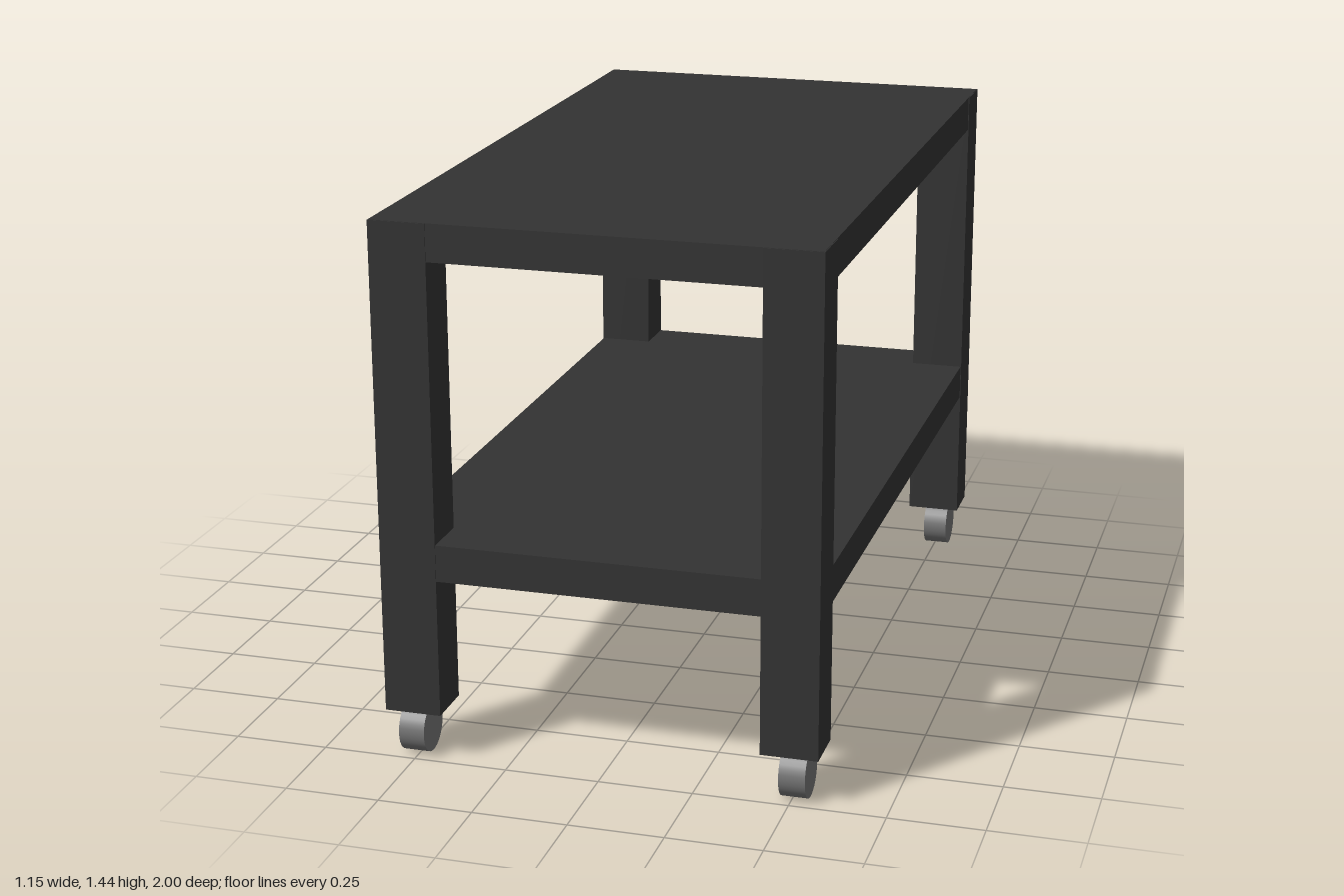
import * as THREE from 'three';

const frameMat = new THREE.MeshStandardMaterial({ color: 0x333333 });
frameMat.name = 'dark frame';
const wheelMat = new THREE.MeshStandardMaterial({ color: 0x777777 });
wheelMat.name = 'grey wheel';

const HALF_X = 0.575, HALF_Z = 1, HEIGHT = 1.436;
const LEG_X = 0.15, LEG_Z = 0.135, LEG_BASE = 0.13, SLAB = 0.098;
const WHEEL_R = 0.067, WHEEL_W = 0.069;

function add(parent, name, geometry, material, x, y, z) {
  const mesh = new THREE.Mesh(geometry, material);
  mesh.name = name;
  mesh.position.set(x, y, z);
  parent.add(mesh);
}

export function createModel() {
  const cart = new THREE.Group();
  cart.name = 'rollingCart';

  // Table top and lower shelf, a hair inside the legs
  const slab = new THREE.BoxGeometry(2 * HALF_X - 0.004, SLAB, 2 * HALF_Z - 0.004);
  add(cart, 'tableTop', slab, frameMat, 0, HEIGHT - SLAB / 2, 0);
  add(cart, 'lowerShelf', slab, frameMat, 0, 0.55, 0);

  // Four legs, each standing on a wheel
  const legHeight = HEIGHT - 0.001 - LEG_BASE;
  const leg = new THREE.BoxGeometry(LEG_X, legHeight, LEG_Z);
  const wheel = new THREE.CylinderGeometry(WHEEL_R, WHEEL_R, WHEEL_W, 32).rotateZ(Math.PI / 2);
  for (const sx of [-1, 1]) {
    for (const sz of [-1, 1]) {
      const corner = (sz > 0 ? 'front' : 'back') + (sx > 0 ? 'Left' : 'Right');
      const z = sz * (HALF_Z - LEG_Z / 2);
      add(cart, corner + 'Leg', leg, frameMat, sx * (HALF_X - LEG_X / 2), LEG_BASE + legHeight / 2, z);
      add(cart, corner + 'Wheel', wheel, wheelMat, sx * 0.507, WHEEL_R, z);
    }
  }
  return cart;
}
